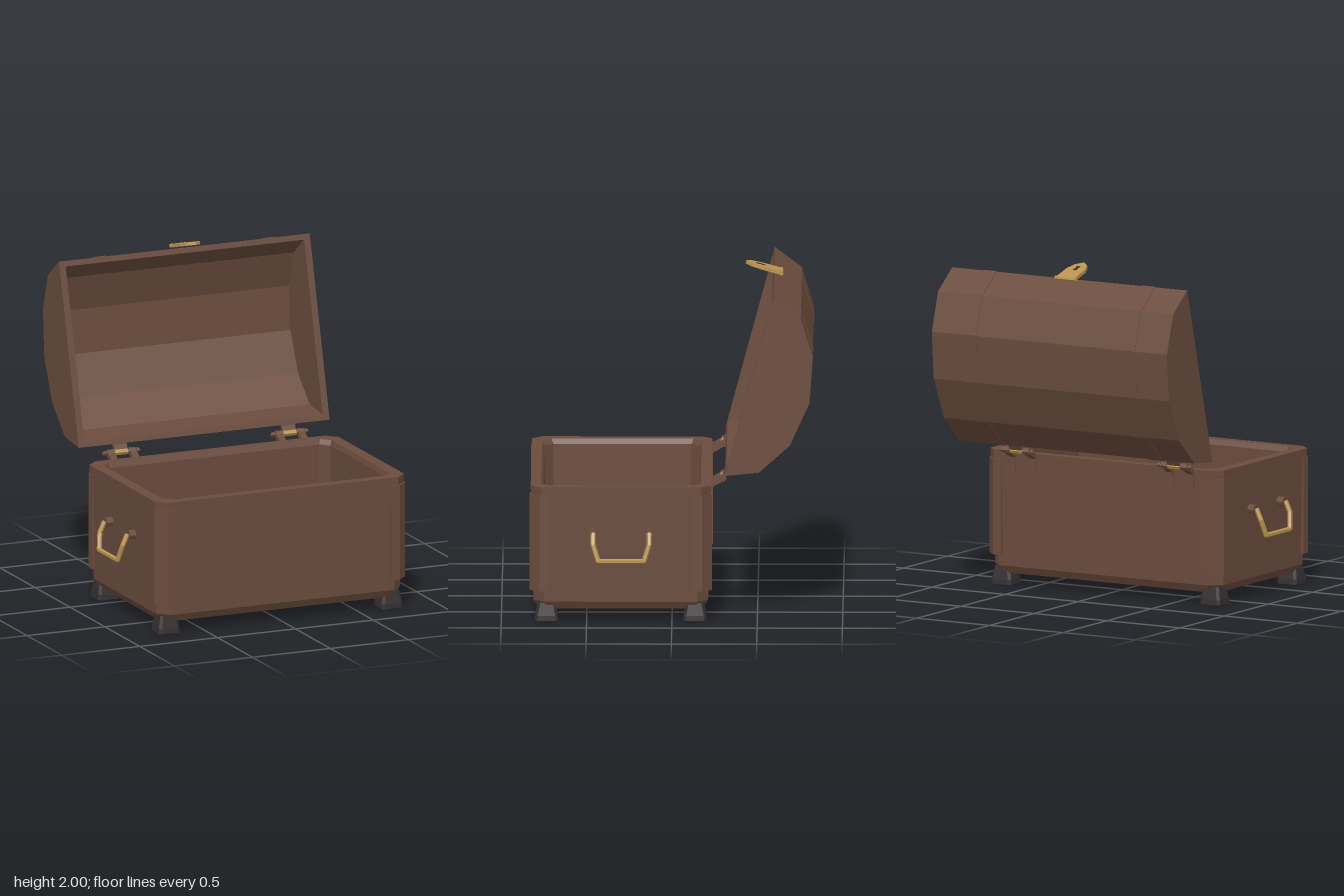
import * as THREE from 'three';

const mat = (name, color, side = THREE.FrontSide) => {
  const m = new THREE.MeshStandardMaterial({ color, side });
  m.name = name;
  return m;
};

// Chamfered rectangle as a ring of eight [x, z] points
const chamferRect = (x0, x1, z0, z1, c) => [
  [x1, z0 + c], [x1, z1 - c], [x1 - c, z1], [x0 + c, z1],
  [x0, z1 - c], [x0, z0 + c], [x0 + c, z0], [x1 - c, z0],
];

// Joins horizontal rings [y, points] in order and caps the first and last
function loft(rings) {
  const pos = [];
  const n = rings[0][1].length;
  const v = (r, i) => [r[1][i % n][0], r[0], r[1][i % n][1]];
  const centre = (r) => [
    r[1].reduce((s, p) => s + p[0], 0) / n, r[0], r[1].reduce((s, p) => s + p[1], 0) / n];
  for (let k = 0; k + 1 < rings.length; k++) {
    for (let i = 0; i < n; i++) {
      const a = v(rings[k], i), b = v(rings[k + 1], i), c = v(rings[k + 1], i + 1), d = v(rings[k], i + 1);
      pos.push(...a, ...b, ...c, ...a, ...c, ...d);
    }
  }
  const first = rings[0], last = rings[rings.length - 1];
  for (let i = 0; i < n; i++) {
    pos.push(...centre(first), ...v(first, i), ...v(first, i + 1));
    pos.push(...centre(last), ...v(last, i + 1), ...v(last, i));
  }
  const g = new THREE.BufferGeometry();
  g.setAttribute('position', new THREE.Float32BufferAttribute(pos, 3));
  g.computeVertexNormals();
  return g;
}

const shapeOf = (pts) => new THREE.Shape(pts.map(([x, y]) => new THREE.Vector2(x, y)));
const extrude = (shape, depth) => new THREE.ExtrudeGeometry(shape, { depth, bevelEnabled: false, curveSegments: 6 });

// Outline in [z, y], extruded across x around a centre
const extrudeX = (pts, x, width) =>
  extrude(shapeOf(pts), width).rotateY(-Math.PI / 2).translate(x + width / 2, 0, 0);

// Outline in [x, z], extruded from y0 to y1
const extrudeY = (pts, y0, y1) =>
  extrude(shapeOf(pts), y1 - y0).rotateX(Math.PI / 2).translate(0, y1, 0);

// Straight faceted rod between two points
function rod(a, b, r, sides = 6) {
  const p = new THREE.Vector3(...a), q = new THREE.Vector3(...b);
  const d = q.clone().sub(p);
  const g = new THREE.CylinderGeometry(r, r, d.length(), sides).toNonIndexed();
  g.computeVertexNormals();
  g.applyQuaternion(new THREE.Quaternion().setFromUnitVectors(new THREE.Vector3(0, 1, 0), d.normalize()));
  return g.translate((p.x + q.x) / 2, (p.y + q.y) / 2, (p.z + q.z) / 2);
}

export function createModel() {
  const root = new THREE.Group();
  root.name = 'treasureChest';
  const wood = mat('brown wood', 0x6b4c3d);
  const gold = mat('brass', 0xb99350);
  const dark = mat('dark iron', 0x352f30);
  const teal = mat('teal gem', 0x2f8583);
  const add = (name, geo, material, parent = root) => {
    const m = new THREE.Mesh(geo, material);
    m.name = name;
    parent.add(m);
    return m;
  };

  // Hollow body with sloping base
  add('body', loft([
    [0.07, chamferRect(-0.755, 0.755, -0.185, 0.785, 0.06)],
    [0.115, chamferRect(-0.782, 0.782, -0.212, 0.812, 0.065)],
    [0.8, chamferRect(-0.8, 0.8, -0.23, 0.828, 0.06)],
    [0.8, chamferRect(-0.73, 0.73, -0.168, 0.765, 0.05)],
    [0.77, chamferRect(-0.72, 0.72, -0.158, 0.75, 0.05)],
    [0.12, chamferRect(-0.72, 0.72, -0.158, 0.75, 0.05)],
  ]), wood);

  // Corner posts and feet, mirrored about the body centre
  for (const sx of [-1, 1]) {
    for (const sz of [-1, 1]) {
      const place = (pts) => pts.map(([x, z]) => [sx * x, 0.3 + sz * z]);
      add('cornerPost', extrudeY(place([
        [0.69, 0.534], [0.745, 0.534], [0.804, 0.475], [0.804, 0.42], [0.775, 0.42], [0.74, 0.45], [0.69, 0.505],
      ]), 0.18, 0.75), wood);
      const foot = (r) => chamferRect(sx * 0.715 - r, sx * 0.715 + r, 0.3 + sz * 0.435 - r, 0.3 + sz * 0.435 + r, 0.015);
      add('foot', loft([[0, foot(0.068)], [0.03, foot(0.066)], [0.105, foot(0.052)]]), dark);
    }
  }

  // Side handles on round mounts
  for (const s of [-1, 1]) {
    const handle = new THREE.Group();
    handle.name = s > 0 ? 'leftHandle' : 'rightHandle';
    root.add(handle);
    const path = [
      [0.838, 0.535, 0.462], [0.868, 0.47, 0.462], [0.886, 0.375, 0.432],
      [0.886, 0.375, 0.163], [0.868, 0.47, 0.133], [0.838, 0.535, 0.133],
    ].map(([x, y, z]) => [s * x, y, z]);
    for (let i = 0; i + 1 < path.length; i++) add('handleBar', rod(path[i], path[i + 1], 0.015), gold, handle);
    for (const p of path.slice(1, -1)) {
      add('handleJoint', new THREE.IcosahedronGeometry(0.0155, 0).translate(...p), gold, handle);
    }
    for (const z of [0.133, 0.462]) {
      add('handleMount', rod([s * 0.785, 0.53, z], [s * 0.834, 0.53, z], 0.028, 8), wood, handle);
    }
  }

  // Domed lid, hollow, tipped open
  const arc = [[-0.31, 0.87], [-0.51, 0.89], [-0.69, 1.05], [-0.805, 1.3], [-0.825, 1.58], [-0.755, 1.81], [-0.595, 1.93]];
  const mid = [-0.4525, 1.4];
  const scaled = (k) => arc.map(([z, y]) => [mid[0] + (z - mid[0]) * k, mid[1] + (y - mid[1]) * k]);
  const shell = (outer, inner) => [...scaled(outer), ...scaled(inner).reverse()];
  add('lidShell', extrudeX(shell(1, 0.94), 0, 1.53), wood);
  for (const s of [-1, 1]) {
    add('lidEnd', extrudeX(arc, s * 0.785, 0.04), wood);
    add('lidStrap', extrudeX(shell(1.008, 0.985), s * 0.543, 0.087), wood);
  }

  // Hinges
  for (const s of [-1, 1]) {
    const hinge = new THREE.Group();
    hinge.name = 'hinge';
    hinge.position.x = s * 0.54;
    root.add(hinge);
    add('hingePin', rod([-0.12, 0.822, -0.298], [0.12, 0.822, -0.298], 0.009), wood, hinge);
    for (const t of [-1, 1]) {
      add('hingePinCap', rod([t * 0.095, 0.822, -0.298], [t * 0.112, 0.822, -0.298], 0.016), wood, hinge);
      add('hingeKnuckle', rod([t * 0.045, 0.822, -0.298], [t * 0.09, 0.822, -0.298], 0.021), wood, hinge);
      add('hingeArm', extrudeX([[-0.225, 0.795], [-0.225, 0.765], [-0.3, 0.806], [-0.3, 0.836]], t * 0.07, 0.042), wood, hinge);
      add('hingePlate', extrudeX([[-0.222, 0.79], [-0.236, 0.79], [-0.234, 0.68], [-0.22, 0.68]], t * 0.07, 0.042), wood, hinge);
    }
    add('hingeSleeve', rod([-0.042, 0.822, -0.298], [0.042, 0.822, -0.298], 0.019), gold, hinge);
    add('hingeLeaf', extrudeX([[-0.29, 0.826], [-0.31, 0.82], [-0.345, 0.88], [-0.318, 0.885]], 0, 0.084), wood, hinge);
  }

  // Latch plate with keyhole
  const latch = new THREE.Group();
  latch.name = 'latch';
  latch.position.set(0, 1.938, -0.638);
  latch.rotation.x = -0.27;
  root.add(latch);
  add('latchPlate', extrudeY([
    [-0.063, 0], [0.063, 0], [0.063, 0.12], [0.042, 0.18], [0, 0.215], [-0.042, 0.18], [-0.063, 0.12],
  ], -0.01, 0.01), gold, latch);
  add('latchBarrel', rod([-0.073, 0, 0], [0.073, 0, 0], 0.013), gold, latch);
  for (const [y0, y1] of [[0.0095, 0.012], [-0.012, -0.0095]]) {
    add('keyhole', extrudeY([
      [-0.008, 0.12], [-0.015, 0.112], [-0.008, 0.1], [0.008, 0.1], [0.015, 0.112], [0.008, 0.12],
      [0.013, 0.155], [-0.013, 0.155],
    ], y0, y1), dark, latch);
  }

  // Small treasures resting on the chest floor
  const hex = (r) => Array.from({ length: 6 }, (_, i) =>
    [-0.42 + r * Math.cos(i * Math.PI / 3), 0.105 + r * Math.sin(i * Math.PI / 3)]);
  add('bottle', loft([
    [0.12, hex(0.06)], [0.16, hex(0.075)], [0.36, hex(0.075)], [0.42, hex(0.036)], [0.47, hex(0.036)],
  ]), dark);
  add('bottleStopper', loft([[0.46, hex(0.025)], [0.5, hex(0.028)]]), wood);
  add('coin', rod([0, 0.12, 0.035], [0, 0.15, 0.035], 0.043, 8), gold);
  add('gem', new THREE.IcosahedronGeometry(0.06, 0).translate(0.37, 0.175, 0.03), teal);

  return root;
}
